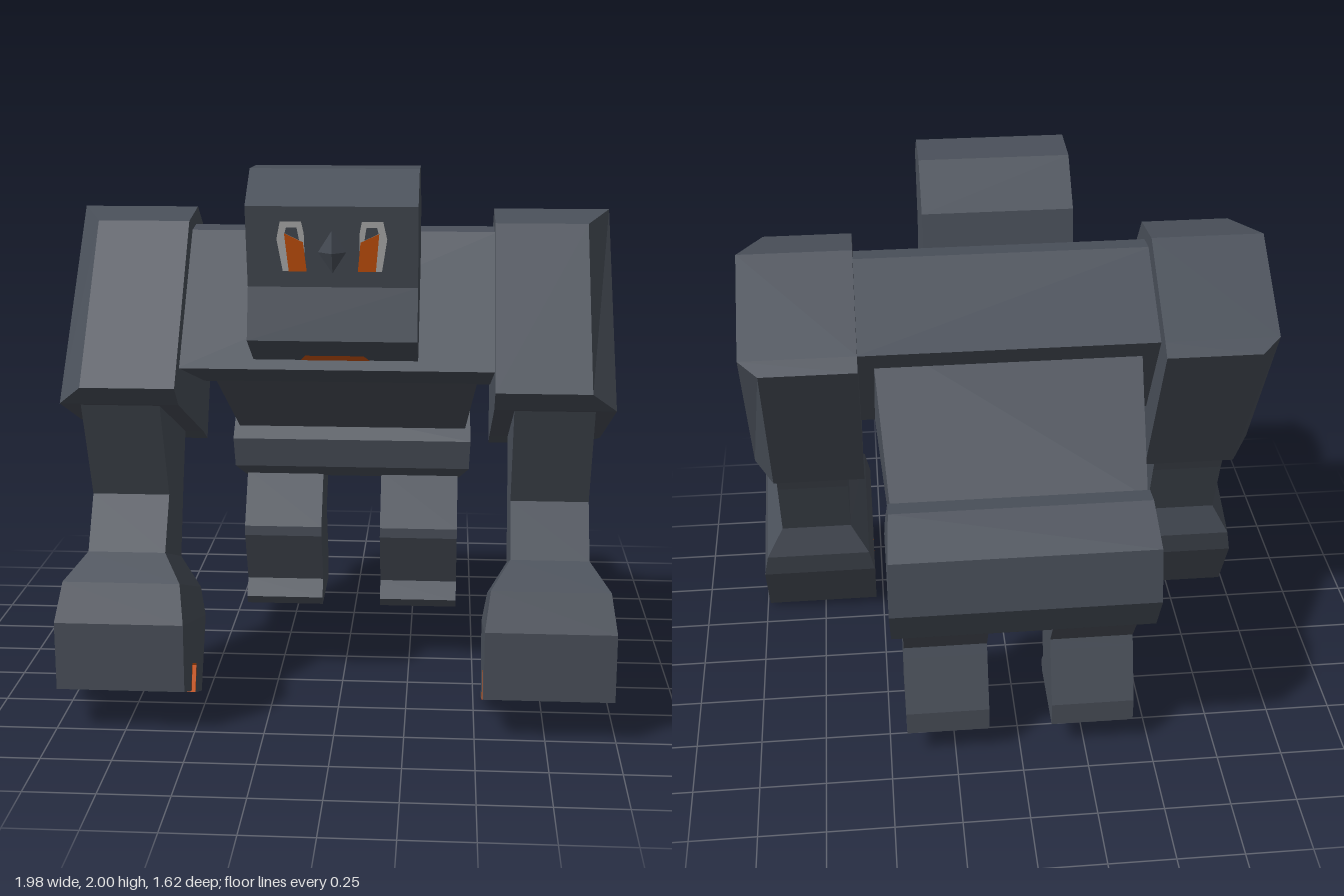
import * as THREE from 'three';

const paint = (name, color) => {
  const m = new THREE.MeshStandardMaterial({ color, flatShading: true });
  m.name = name;
  return m;
};

// Loft of four-cornered sections. Row: [[z, y] front, [z, y] back, x0, x1]
function loft(rows, side = 1) {
  const pos = [];
  const rings = rows.map(([f, b, p, q]) => {
    const [x0, x1] = side > 0 ? [p, q] : [-q, -p];
    return [[x0, f], [x1, f], [x1, b], [x0, b]].map(([x, [z, y]]) => [x, y, z]);
  });
  const quad = (a, b, c, d) => pos.push(...a, ...b, ...c, ...a, ...c, ...d);
  for (let i = 0; i < rings.length - 1; i++) {
    const r = rings[i], n = rings[i + 1];
    for (let j = 0; j < 4; j++) {
      const k = (j + 1) % 4;
      quad(r[j], n[j], n[k], r[k]);
    }
  }
  quad(...rings[0]);
  quad(...[...rings[rings.length - 1]].reverse());
  const g = new THREE.BufferGeometry();
  g.setAttribute('position', new THREE.Float32BufferAttribute(pos, 3));
  g.computeVertexNormals();
  return g;
}

// Side profile [z, y] extruded along x
function prism(profile, x0, x1) {
  const shape = new THREE.Shape(profile.map(([z, y]) => new THREE.Vector2(-z, y)));
  const g = new THREE.ExtrudeGeometry(shape, { depth: x1 - x0, bevelEnabled: false });
  return g.rotateY(Math.PI / 2).translate(x0, 0, 0);
}

// Flat front-facing patch [x, y] laid on a slope z = depth(y)
function patch(points, depth, side = 1) {
  const g = new THREE.ShapeGeometry(new THREE.Shape(points.map(([x, y]) => new THREE.Vector2(x * side, y))));
  const p = g.attributes.position;
  for (let i = 0; i < p.count; i++) p.setZ(i, depth(p.getY(i)));
  g.computeVertexNormals();
  return g;
}

export function createModel() {
  const model = new THREE.Group();
  const stone = paint('slate stone', 0x4a505a);
  const ember = paint('ember orange', 0xd2560e);
  const pale = paint('pale eye', 0xbcbcbc);
  const add = (name, geometry, material = stone) => {
    const mesh = new THREE.Mesh(geometry, material);
    mesh.name = name;
    model.add(mesh);
    return mesh;
  };

  // Trunk
  add('chest', prism([[0.14, 1.75], [0.23, 1.74], [0.6, 1.3], [0.02, 1.13], [-0.2, 1.53]], -0.56, 0.56));
  add('abdomen', loft([
    [[0.05, 1.14], [-0.05, 1.55], -0.5, 0.5],
    [[-0.36, 0.85], [-0.56, 1.1], -0.46, 0.46],
  ]));
  add('pelvis', loft([
    [[-0.54, 1.12], [-0.62, 1.13], -0.47, 0.47],
    [[-0.43, 0.98], [-0.78, 1.03], -0.48, 0.48],
    [[-0.3, 0.82], [-0.81, 0.82], -0.485, 0.485],
    [[-0.32, 0.7], [-0.74, 0.67], -0.48, 0.48],
    [[-0.37, 0.65], [-0.71, 0.645], -0.44, 0.44],
  ]));

  // Head with brow, nose and mouth
  add('head', prism([
    [0.655, 2], [0.46, 1.995], [0.3, 1.845], [0.25, 1.6], [0.45, 1.37],
    [0.62, 1.34], [0.8, 1.44], [0.75, 1.615], [0.81, 1.89],
  ], -0.285, 0.285));
  const nose = add('nose', new THREE.ConeGeometry(1, 1, 4).rotateX(Math.PI / 2).scale(0.075, 0.12, 0.03));
  nose.position.set(0, 1.735, 0.78);
  nose.rotation.x = 0.215;
  add('mouth', patch([[-0.12, 1.342], [0.12, 1.342], [0.1, 1.367], [-0.1, 1.367]],
    (y) => 0.632 + (y - 1.34) * 1.8), ember);

  for (const side of [1, -1]) {
    const label = side > 0 ? 'left' : 'right';
    const onFace = (lift) => (y) => 0.75 + (y - 1.615) * 0.218 + lift;

    // Eyes
    add(label + 'Eye', patch([[0.092, 1.8], [0.1, 1.84], [0.17, 1.84], [0.183, 1.78], [0.165, 1.67], [0.09, 1.67]],
      onFace(0.004), side), pale);
    add(label + 'Iris', patch([[0.157, 1.8], [0.095, 1.77], [0.085, 1.67], [0.145, 1.67]],
      onFace(0.007), side), ember);
    add(label + 'Eyelid', patch([[0.115, 1.82], [0.15, 1.82], [0.155, 1.8], [0.108, 1.777]],
      onFace(0.007), side));

    // Shoulder block, bevelled on its outer edges
    add(label + 'Shoulder', loft([
      [[0.71, 1.25], [0.3, 1.78], 0.55, 0.88],
      [[0.63, 1.175], [0.09, 1.81], 0.55, 0.97],
      [[0.07, 0.94], [-0.27, 1.57], 0.55, 0.97],
      [[-0.025, 0.89], [-0.32, 1.53], 0.55, 0.9],
    ], side));

    // Arm flaring into the fist
    add(label + 'Arm', loft([
      [[0.62, 1.19], [0.06, 0.98], 0.62, 0.9],
      [[0.465, 0.8], [0.155, 0.74], 0.62, 0.9],
      [[0.58, 0.615], [0.24, 0.49], 0.62, 0.9],
      [[0.7, 0.54], [0.22, 0.36], 0.55, 0.97],
      [[0.77, 0.41], [0.245, 0.255], 0.53, 0.99],
    ], side));
    const [x0, x1] = side > 0 ? [0.53, 0.99] : [-0.99, -0.53];
    add(label + 'Fist', prism([
      [0.77, 0.41], [0.77, 0.16], [0.62, 0.1], [0.585, 0.195], [0.485, 0.155],
      [0.525, 0.055], [0.38, 0], [0.245, 0.255],
    ], x0, x1));
    // Glowing lining of the fist slot
    add(label + 'FistGlow', prism([
      [0.62, 0.1], [0.585, 0.195], [0.485, 0.155], [0.525, 0.055],
      [0.532, 0.058], [0.495, 0.151], [0.581, 0.185], [0.613, 0.097],
    ], x0, x1), ember);

    // Hind leg with foot
    add(label + 'Leg', loft([
      [[-0.37, 0.67], [-0.68, 0.67], 0.12, 0.435],
      [[-0.24, 0.465], [-0.54, 0.46], 0.12, 0.435],
      [[-0.24, 0.425], [-0.555, 0.42], 0.12, 0.435],
      [[-0.33, 0.21], [-0.63, 0.21], 0.12, 0.435],
      [[-0.28, 0.145], [-0.63, 0.15], 0.12, 0.435],
      [[-0.3, 0.11], [-0.63, 0.115], 0.12, 0.435],
    ], side));
  }
  return model;
}
